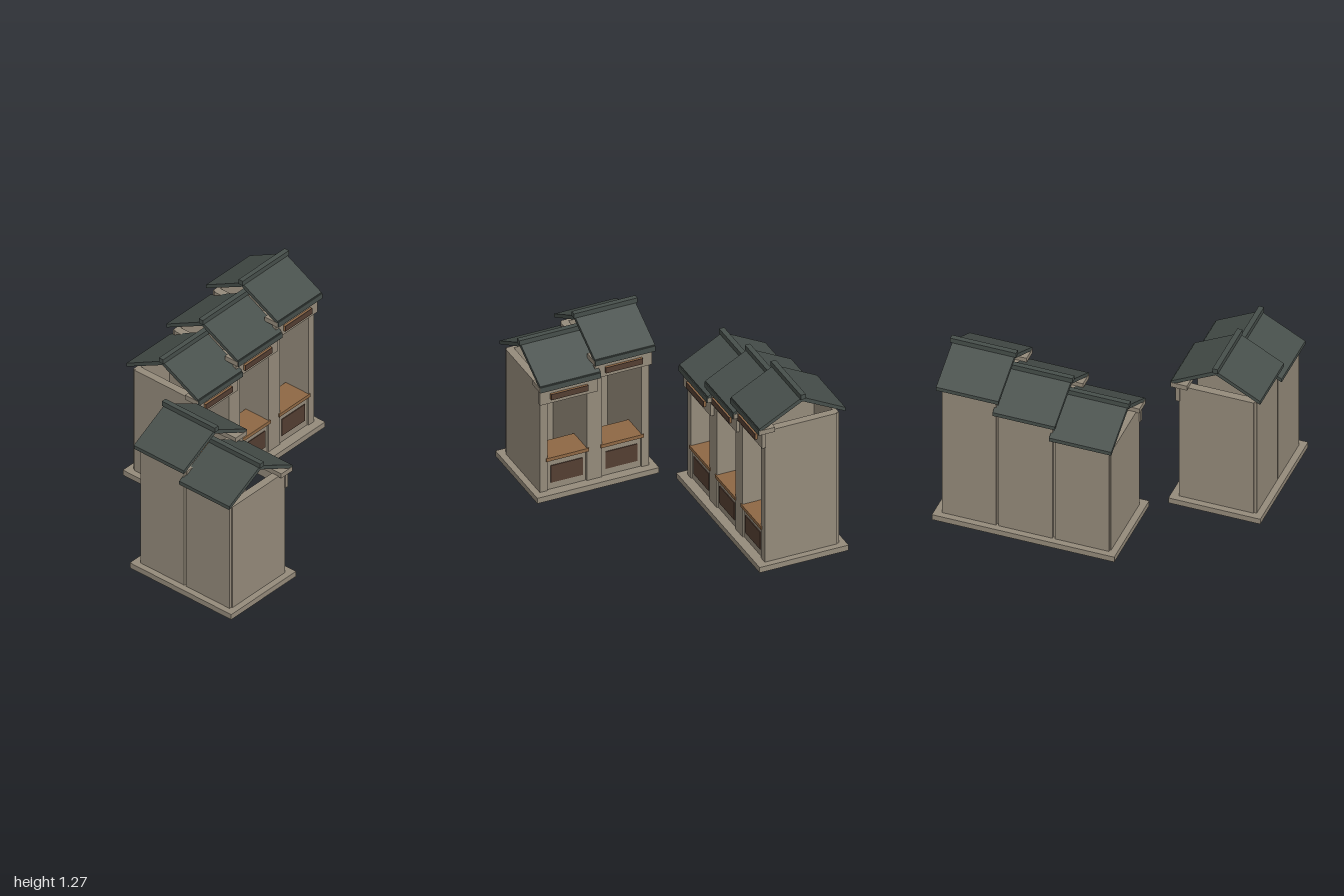
import * as THREE from 'three';

const material = (name, color) => {
  const m = new THREE.MeshStandardMaterial({ color });
  m.name = name;
  return m;
};

export function createModel() {
  const plaster = material('plaster', 0x958b7b);
  const slate = material('slate', 0x474f4b);
  const wood = material('wood', 0x8f6844);
  const darkWood = material('darkWood', 0x543e32);

  const PITCH = 0.39;
  const BASE_TOP = 0.04;

  // Box given by its extents on each axis
  function box(parent, name, mat, [x0, x1], [y0, y1], [z0, z1]) {
    const mesh = new THREE.Mesh(new THREE.BoxGeometry(x1 - x0, y1 - y0, z1 - z0), mat);
    mesh.position.set((x0 + x1) / 2, (y0 + y1) / 2, (z0 + z1) / 2);
    mesh.name = name;
    parent.add(mesh);
    return mesh;
  }
  const span = (half) => [-half, half];

  // One open-fronted stall facing +z; top is the height of its walls
  function stall(top) {
    const g = new THREE.Group();
    g.name = 'stall';

    // Walls, open above
    box(g, 'leftWall', plaster, [0.14, 0.195], [BASE_TOP, top], [-0.255, 0.26]);
    box(g, 'rightWall', plaster, [-0.195, -0.14], [BASE_TOP, top], [-0.255, 0.26]);
    box(g, 'backWall', plaster, span(0.187), [BASE_TOP, top], [-0.273, -0.25]);

    // Counter with a dark front panel and a wooden top
    box(g, 'counter', plaster, span(0.137), [BASE_TOP, 0.265], [0.08, 0.25]);
    box(g, 'counterPanel', darkWood, span(0.113), [0.09, 0.22], [0.249, 0.256]);
    box(g, 'counterTop', wood, span(0.153), [0.265, 0.29], [0.065, 0.268]);

    // Header with sign board
    box(g, 'header', plaster, span(0.204), [top - 0.12, top], [0.255, 0.283]);
    box(g, 'signBoard', wood, span(0.132), [top - 0.088, top - 0.045], [0.283, 0.296]);
    box(g, 'signFace', darkWood, span(0.132), [top - 0.088, top - 0.045], [0.296, 0.301]);

    // Eave beam and its fascia
    box(g, 'eaveBeam', plaster, span(0.218), [top - 0.005, top + 0.03], [0.198, 0.308]);
    box(g, 'fascia', slate, span(0.215), [top - 0.005, top + 0.035], [0.308, 0.314]);

    // Gabled roof: chevron section extruded along x
    const section = new THREE.Shape([
      new THREE.Vector2(-0.307, 0.015),
      new THREE.Vector2(0, 0.173),
      new THREE.Vector2(0.307, 0.015),
      new THREE.Vector2(0.307, 0.042),
      new THREE.Vector2(0, 0.204),
      new THREE.Vector2(-0.307, 0.042),
    ]);
    const geo = new THREE.ExtrudeGeometry(section, { depth: 0.43, bevelEnabled: false });
    geo.translate(0, 0, -0.215);
    geo.rotateY(Math.PI / 2);
    const roof = new THREE.Mesh(geo, slate);
    roof.name = 'roof';
    roof.position.y = top;
    g.add(roof);
    box(g, 'ridgeCap', slate, span(0.227), [top + 0.195, top + 0.23], span(0.018));
    return g;
  }

  // Row of stalls on a shared plinth, each one step taller than the last
  function row(name, count) {
    const g = new THREE.Group();
    g.name = name;
    box(g, 'plinth', plaster, span((count * PITCH) / 2 + 0.045), [0, BASE_TOP], span(0.3175));
    for (let i = 0; i < count; i++) {
      const s = stall(0.84 + 0.1 * i);
      s.position.x = (i - (count - 1) / 2) * PITCH;
      g.add(s);
    }
    return g;
  }

  const model = new THREE.Group();
  model.name = 'marketStalls';

  const backRow = row('backRow', 3);
  backRow.position.set(0.37, 0, -0.4715);

  const sideRow = row('sideRow', 2);
  sideRow.rotation.y = Math.PI / 2;
  sideRow.position.set(-0.6825, 0, 0.3535);

  model.add(backRow, sideRow);
  return model;
}
